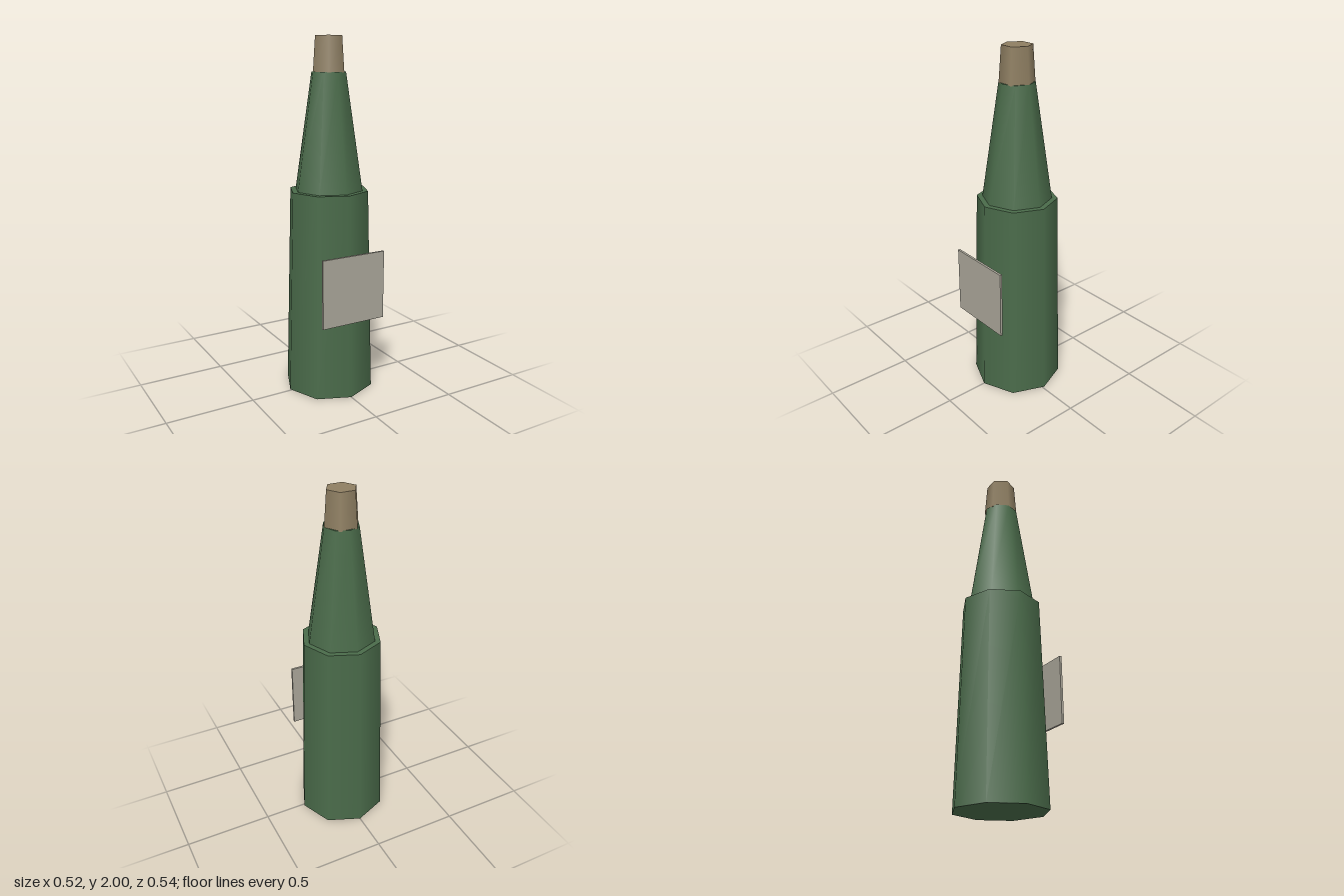
import * as THREE from 'three';

const AXIS_Z = -0.011; // bottle axis sits slightly behind the origin

export function createModel() {
  const group = new THREE.Group();
  const glass = new THREE.MeshStandardMaterial({ color: 0x4a6b4a });
  const cork = new THREE.MeshStandardMaterial({ color: 0x8f7f62 });
  const paper = new THREE.MeshStandardMaterial({ color: 0xaaa699 });

  // Tapered, capped section standing between two heights
  function section(name, bottomRadius, topRadius, y0, y1, sides, material) {
    const geometry = new THREE.CylinderGeometry(topRadius, bottomRadius, y1 - y0, sides);
    const mesh = new THREE.Mesh(geometry, material);
    mesh.name = name;
    mesh.position.set(0, (y0 + y1) / 2, AXIS_Z);
    group.add(mesh);
    return mesh;
  }

  section('body', 0.258, 0.226, 0, 1.163, 8, glass);
  section('neck', 0.194, 0.097, 1.163, 1.81, 8, glass);

  // Six-sided stopper with corners pointing left and right
  section('stopper', 0.097, 0.083, 1.806, 2, 6, cork).rotation.y = Math.PI / 6;

  // Thin label plate in front of the body
  const label = new THREE.Mesh(new THREE.BoxGeometry(0.387, 0.387, 0.013), paper);
  label.name = 'label';
  label.position.set(0, 0.649, 0.26);
  group.add(label);

  return group;
}
